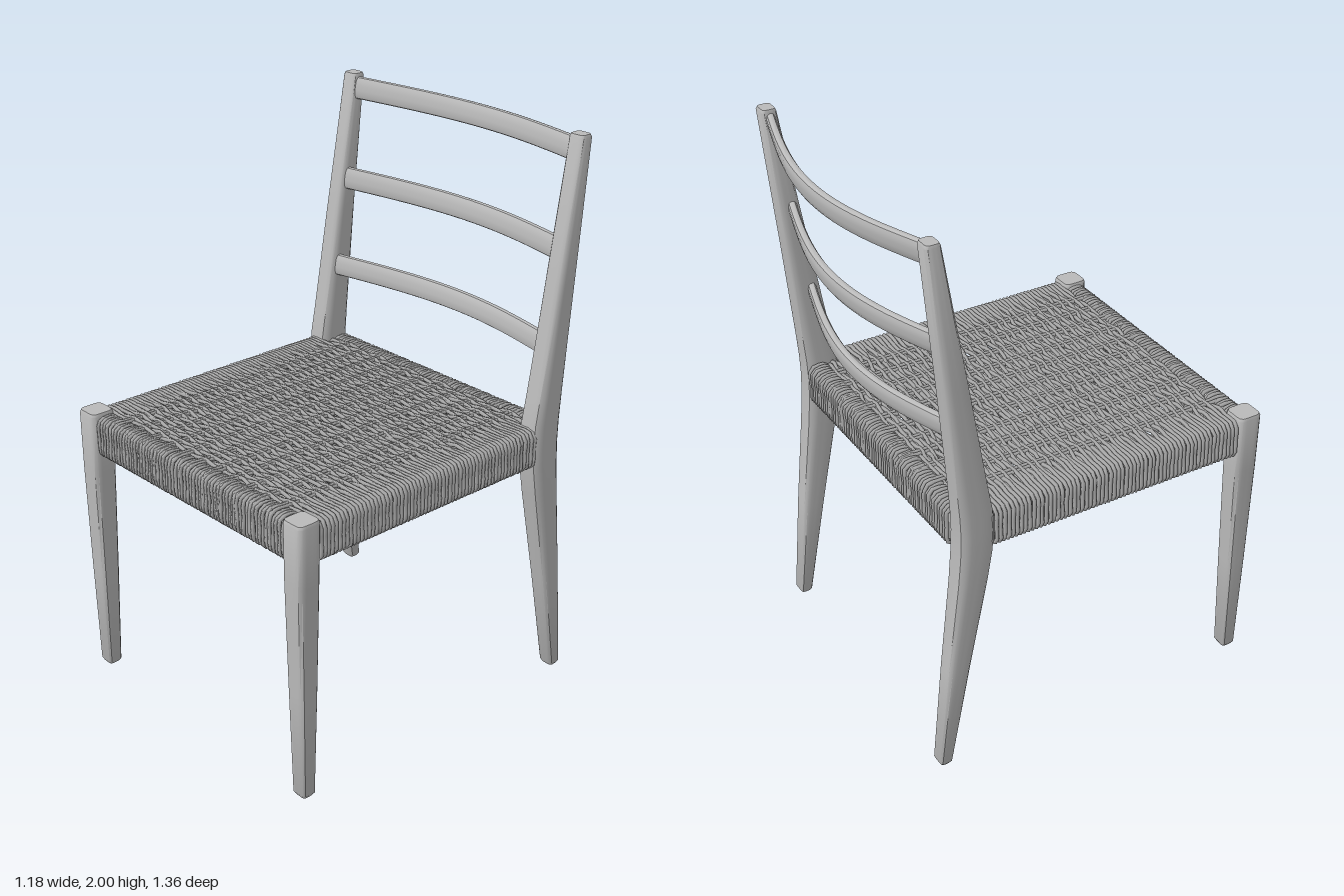
import * as THREE from 'three';
import { toCreasedNormals } from 'three/addons/utils/BufferGeometryUtils.js';

const wood = new THREE.MeshStandardMaterial({ color: 0xbababa });
wood.name = 'wood';
const cord = new THREE.MeshStandardMaterial({ color: 0xaaaaaa });
cord.name = 'cord';

// Small seeded jitter in -1..1
let seed = 7;
const jitter = () => {
  seed = (seed * 16807) % 2147483647;
  return (seed / 2147483647) * 2 - 1;
};

// Skin rings of points (all the same length) and close both ends
function loft(rings) {
  const n = rings[0].length, pos = [], idx = [];
  rings.forEach((ring) => ring.forEach((p) => pos.push(p.x, p.y, p.z)));
  for (let r = 0; r < rings.length - 1; r++) {
    for (let i = 0; i < n; i++) {
      const a = r * n + i, b = r * n + (i + 1) % n;
      idx.push(a, a + n, b, b, a + n, b + n);
    }
  }
  const last = (rings.length - 1) * n;
  for (let i = 1; i < n - 1; i++) {
    idx.push(0, i, i + 1);
    idx.push(last, last + i + 1, last + i);
  }
  const g = new THREE.BufferGeometry();
  g.setAttribute('position', new THREE.Float32BufferAttribute(pos, 3));
  g.setIndex(idx);
  return toCreasedNormals(g, 0.7);
}

// Rounded square outline with half sizes a and b
function roundedOutline(a, b, power, n) {
  return Array.from({ length: n }, (_, i) => {
    const t = ((i + 0.5) / n) * Math.PI * 2, c = Math.cos(t), s = Math.sin(t);
    const k = Math.pow(Math.abs(c) ** power + Math.abs(s) ** power, -1 / power);
    return [a * k * c, b * k * s];
  });
}

// Leg from sections [y, xInner, xOuter, zBack, zFront]
function legGeometry(sections, side, power) {
  return loft(sections.map(([y, x0, x1, z0, z1]) =>
    roundedOutline((x1 - x0) / 2, (z1 - z0) / 2, power, 24).map(([x, z]) =>
      new THREE.Vector3(side * (x0 + x1) / 2 + x, y, (z0 + z1) / 2 + z))));
}

const FRONT_LEG = [
  [0, 0.52, 0.565, 0.61, 0.65], [0.012, 0.511, 0.573, 0.603, 0.657],
  [0.4, 0.504, 0.58, 0.594, 0.667], [0.8, 0.498, 0.585, 0.586, 0.676],
  [1.01, 0.496, 0.588, 0.584, 0.677], [1.02, 0.5, 0.584, 0.588, 0.673],
];
const BACK_LEG = [
  [0, 0.52, 0.565, -0.582, -0.547], [0.012, 0.512, 0.573, -0.588, -0.54],
  [0.4, 0.506, 0.58, -0.552, -0.468], [0.75, 0.5, 0.587, -0.514, -0.4],
  [0.86, 0.498, 0.588, -0.505, -0.382], [0.94, 0.498, 0.588, -0.502, -0.378],
  [1.02, 0.499, 0.587, -0.505, -0.382], [1.12, 0.501, 0.586, -0.513, -0.4],
  [1.5, 0.506, 0.582, -0.548, -0.462], [1.99, 0.511, 0.574, -0.597, -0.543],
  [2, 0.515, 0.57, -0.593, -0.547],
];

// Curved, tilted back slat running between the rear legs
function slatGeometry(y, zEnd, height, thickness) {
  const rings = [], tilt = 0.16, steps = 28;
  for (let i = 0; i <= steps; i++) {
    const u = (i / steps) * 2 - 1, bow = Math.cos(u * Math.PI / 2);
    rings.push(roundedOutline(thickness / 2, height / 2, 3, 16).map(([d, h]) =>
      new THREE.Vector3(u * 0.52,
        y - bow * 0.1 * Math.sin(tilt) + h * Math.cos(tilt) + d * Math.sin(tilt),
        zEnd - bow * 0.1 - h * Math.sin(tilt) + d * Math.cos(tilt))));
  }
  return loft(rings);
}

const R = 0.0075, TOP = 1.003, BOTTOM = 0.868, PITCH = 0.083;

function cordMesh(points, segments, name, radius = R) {
  const curve = new THREE.CatmullRomCurve3(points, true, 'centripetal');
  const mesh = new THREE.Mesh(new THREE.TubeGeometry(curve, segments, radius, 5, true), cord);
  mesh.name = name;
  return mesh;
}

// Cord loop across the seat, weaving over and under the lengthwise pairs
function crossCord(z, half, parity) {
  const pts = [], count = 24;
  const face = (y, dir) => {
    for (let i = 0; i <= count; i++) {
      const x = dir * (i / count * 2 - 1) * (half - 0.015);
      const inside = Math.abs(x) < 0.49;
      const wave = inside ? parity * 0.005 * Math.cos(x / PITCH * Math.PI) : 0;
      pts.push(new THREE.Vector3(x, y + wave, z + (inside ? jitter() * 0.007 : 0)));
    }
  };
  const edge = (x, y0, y1) => [y0, (y0 + y1) / 2, y1].forEach((y) =>
    pts.push(new THREE.Vector3(x, y, z + jitter() * 0.002)));
  face(TOP, 1);
  edge(half, TOP - 0.014, BOTTOM + 0.014);
  face(BOTTOM, -1);
  edge(-half, BOTTOM + 0.014, TOP - 0.014);
  return cordMesh(pts, 108, 'crossCord');
}

// Cord loop in the zy plane between z0 and z1
function lengthCord(x, z0, z1, steps, segments, name, wobble) {
  const pts = [], c = 0.012;
  const add = (y, z) => pts.push(new THREE.Vector3(x + jitter() * wobble, y, z));
  const run = (y, a, b) => {
    for (let i = 0; i <= steps; i++) add(y, a + (b - a) * i / steps);
  };
  run(TOP + 0.001, z0 + c, z1 - c);
  [TOP - c, (TOP + BOTTOM) / 2, BOTTOM + c].forEach((y) => add(y, z1));
  run(BOTTOM - 0.001, z1 - c, z0 + c);
  [BOTTOM + c, (TOP + BOTTOM) / 2, TOP - c].forEach((y) => add(y, z0));
  return cordMesh(pts, segments, name);
}

export function createModel() {
  const model = new THREE.Group();
  const add = (geometry, name) => {
    const mesh = new THREE.Mesh(geometry, wood);
    mesh.name = name;
    model.add(mesh);
    return mesh;
  };

  // Legs
  for (const [side, label] of [[1, 'left'], [-1, 'right']]) {
    add(legGeometry(FRONT_LEG, side, 6), label + 'FrontLeg');
    add(legGeometry(BACK_LEG, side, 5), label + 'BackLeg');
    // Side rail inside the cord
    add(new THREE.BoxGeometry(0.05, 0.105, 1.0), label + 'SideRail')
      .position.set(side * 0.54, 0.935, 0.1);
  }

  // Front and back rails inside the cord
  for (const [z, name] of [[0.625, 'frontRail'], [-0.465, 'backRail']]) {
    add(new THREE.BoxGeometry(1.03, 0.105, 0.05), name).position.set(0, 0.935, z);
  }

  // Back slats
  add(slatGeometry(1.295, -0.457, 0.078, 0.034), 'lowerSlat');
  add(slatGeometry(1.62, -0.508, 0.08, 0.034), 'middleSlat');
  add(slatGeometry(1.948, -0.562, 0.08, 0.034), 'topSlat');

  // Woven seat
  const seat = new THREE.Group();
  seat.name = 'wovenSeat';
  const crossCount = 66;
  for (let i = 0; i < crossCount; i++) {
    const z = -0.43 + i * 1.01 / (crossCount - 1);
    seat.add(crossCord(z, z < -0.385 ? 0.5 : 0.573, i % 2 ? 1 : -1));
  }
  // Lengthwise pairs
  for (let i = -5; i <= 5; i++) {
    for (const d of [-0.008, 0.008]) {
      seat.add(lengthCord(i * PITCH + d, -0.5, 0.657, 16, 72, 'lengthCord', 0.002));
    }
  }
  // Wraps around the front and back rails
  for (let i = 0; i < 62; i++) {
    const x = -0.488 + i * 0.016;
    seat.add(lengthCord(x, 0.588, 0.657, 1, 20, 'frontWrap', 0.004));
    seat.add(lengthCord(x, -0.5, -0.43, 1, 20, 'backWrap', 0.004));
  }
  model.add(seat);
  return model;
}
